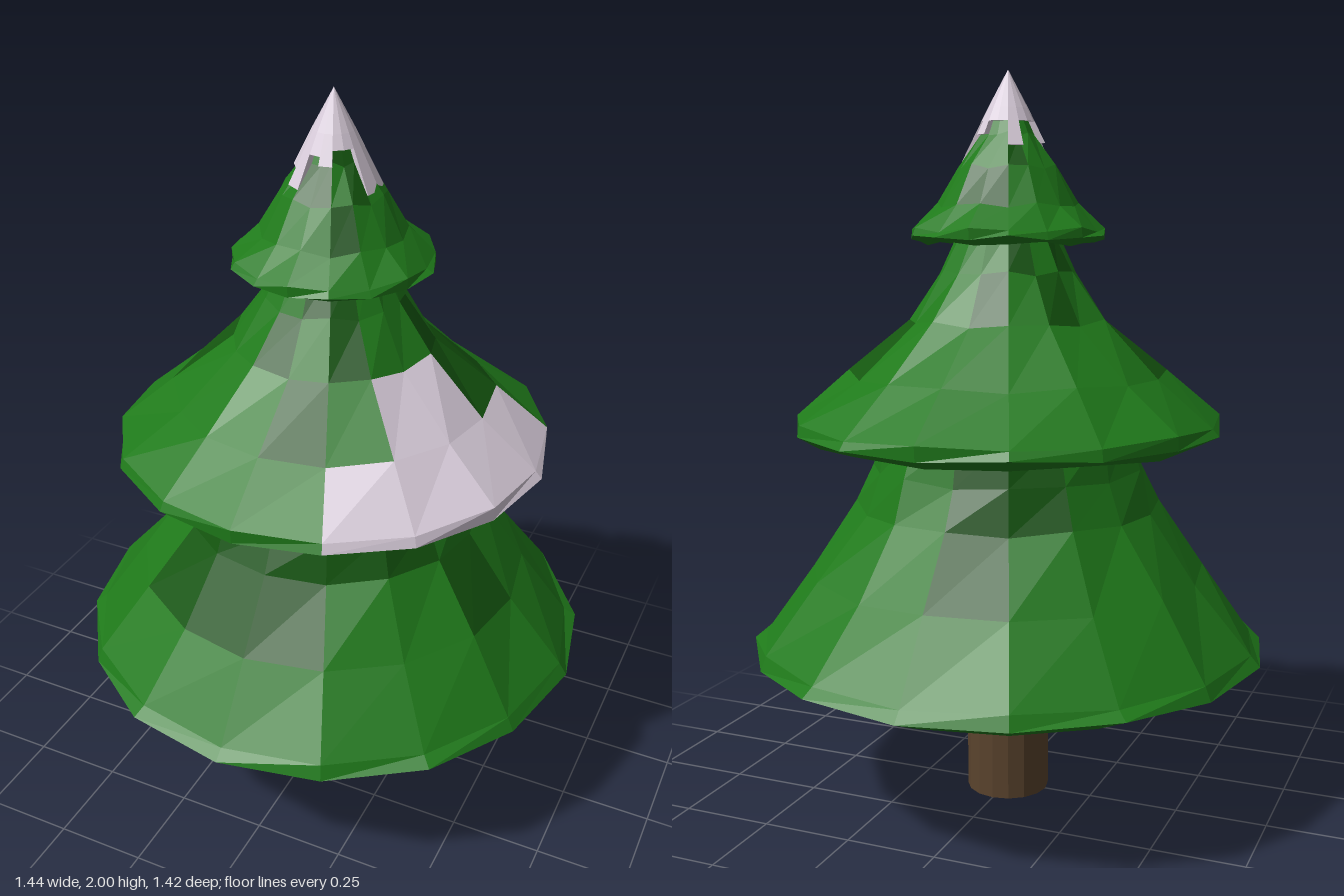
import * as THREE from 'three';

const SIDES = 16;
const COLORS = { foliage: 0x1f7a1a, darkPatch: 0x14560f, snow: 0xd8ccda };

const material = (color) =>
  new THREE.MeshStandardMaterial({ color, flatShading: true, side: THREE.DoubleSide });

// angle 0 is the front (+z), a quarter turn is +x
const around = (r, y, k) => {
  const a = (k / SIDES) * Math.PI * 2;
  return new THREE.Vector3(r * Math.sin(a), y, r * Math.cos(a));
};

function facetMesh(name, quads, color) {
  const points = [];
  for (const [a, b, c, d] of quads) {
    for (const tri of [[a, b, c], [a, c, d]]) {
      const [p, q, r] = tri;
      if (p.distanceTo(q) > 1e-5 && q.distanceTo(r) > 1e-5 && r.distanceTo(p) > 1e-5) points.push(...tri);
    }
  }
  const geometry = new THREE.BufferGeometry().setFromPoints(points);
  geometry.computeVertexNormals();
  const mesh = new THREE.Mesh(geometry, material(color));
  mesh.name = name;
  return mesh;
}

// One tier: a faceted ring stack; patches map a band index to the cells painted in that colour
function tier(name, profile, patches) {
  const group = new THREE.Group();
  group.name = name;
  const quads = { foliage: [], darkPatch: [], snow: [] };
  const point = (i, k) => {
    const [r, y] = profile[i];
    const kk = k % SIDES;
    const wobble = i > 1 && r > 0.03 ? Math.sin(kk * 2.4 + i * 1.7) * 0.007 : 0;
    return around(r + (r > 0.2 ? wobble : 0), y + wobble, kk);
  };
  for (let i = 0; i < profile.length - 1; i++) {
    for (let k = 0; k < SIDES; k++) {
      const paint = ['snow', 'darkPatch'].find((c) => patches[c]?.[i]?.includes(k)) ?? 'foliage';
      quads[paint].push([point(i, k), point(i, k + 1), point(i + 1, k + 1), point(i + 1, k)]);
    }
  }
  for (const [part, list] of Object.entries(quads)) {
    if (list.length) group.add(facetMesh(part, list, COLORS[part]));
  }
  return group;
}

// Snow on the tip: a shell whose lower edge drops further on some cells
function snowCap() {
  const drips = { 0: 1.83, 3: 1.76, 4: 1.76, 6: 1.83, 9: 1.8, 13: 1.81, 14: 1.77, 15: 1.85 };
  const outer = (y, k) => around((2 - y) * 0.5 + 0.004, y, k);
  const inner = (y, k) => around((2 - y) * 0.5 - 0.02, y, k);
  const apex = new THREE.Vector3(0, 2, 0);
  const quads = [];
  for (let k = 0; k < SIDES; k++) {
    const y = drips[k] ?? 1.865;
    const top = 1.9;
    quads.push([outer(top, k), outer(top, k + 1), apex, apex]);
    quads.push([outer(y, k), outer(y, k + 1), outer(top, k + 1), outer(top, k)]);
    // lower lip and the side walls of the drip
    quads.push([inner(y, k), inner(y, k + 1), outer(y, k + 1), outer(y, k)]);
    quads.push([inner(y, k), outer(y, k), outer(top, k), inner(top, k)]);
    quads.push([outer(y, k + 1), inner(y, k + 1), inner(top, k + 1), outer(top, k + 1)]);
  }
  return facetMesh('snowCap', quads, COLORS.snow);
}

export function createModel() {
  const tree = new THREE.Group();
  tree.name = 'snowyFirTree';

  // Trunk with its green underside
  const trunk = new THREE.Mesh(new THREE.CylinderGeometry(0.115, 0.115, 0.4, SIDES, 1, true), material(0x5a432d));
  trunk.position.y = 0.2;
  trunk.name = 'trunk';
  const base = new THREE.Mesh(new THREE.CircleGeometry(0.115, SIDES), material(COLORS.foliage));
  base.rotation.x = Math.PI / 2;
  base.name = 'trunkBase';
  tree.add(trunk, base);

  tree.add(tier('lowerTier',
    [[0, 0.37], [0.57, 0.37], [0.715, 0.435], [0.69, 0.465], [0.545, 0.65], [0.415, 0.83], [0.375, 0.94], [0.345, 1.06]],
    { darkPatch: { 4: [14, 15, 0, 3, 8], 5: [14, 15, 0, 1, 2, 8, 9], 6: [15, 0, 1, 2, 3, 8, 9] } }));

  tree.add(tier('middleTier',
    [[0, 1.06], [0.34, 1.04], [0.54, 1.02], [0.59, 1.045], [0.583, 1.075], [0.43, 1.195], [0.27, 1.34], [0.185, 1.47], [0.13, 1.58]],
    {
      snow: { 3: [1, 2, 3, 4], 4: [1, 2, 3, 4], 5: [2, 3] },
      darkPatch: { 5: [0, 4, 5, 12], 6: [15, 1, 4, 8, 10], 7: [0, 1, 9, 11] },
    }));

  tree.add(tier('upperTier',
    [[0, 1.58], [0.13, 1.565], [0.235, 1.547], [0.268, 1.562], [0.26, 1.582], [0.19, 1.645], [0.135, 1.745], [0.073, 1.83], [0, 1.985]],
    { darkPatch: { 5: [1, 7, 8], 6: [15, 0, 2, 9], 7: [0, 1, 2] } }));

  tree.add(snowCap());
  return tree;
}
